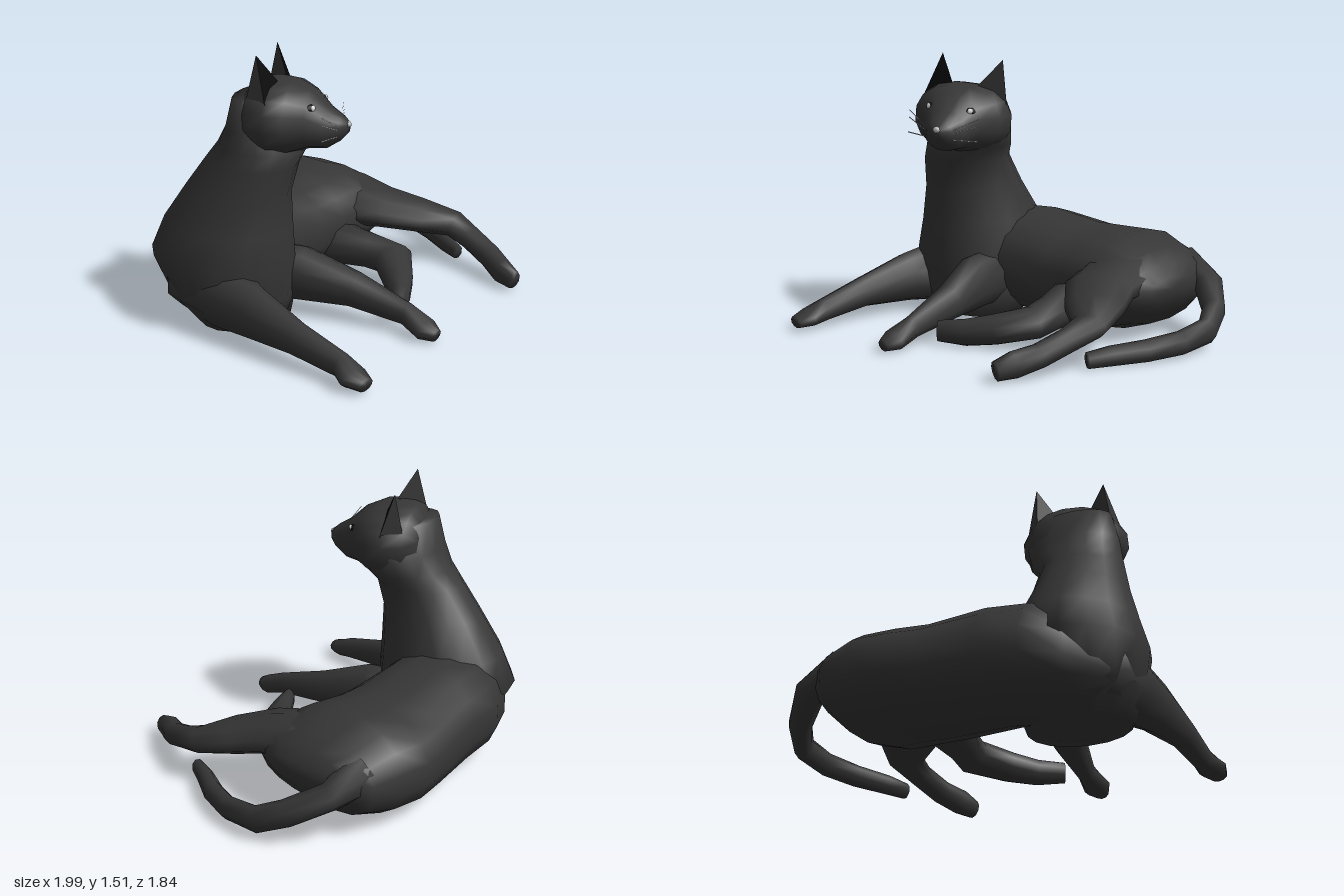
import * as THREE from 'three';

const V = (x, y, z) => new THREE.Vector3(x, y, z);

// Closed smooth skin through rings { c: centre, u, v: half axes }; power below 1 squares the rings
function loft(rings, n = 12, power = 1) {
  const pos = [], idx = [], last = rings.length - 1;
  const bend = (t) => Math.sign(t) * Math.abs(t) ** power;
  for (const { c, u, v } of rings) {
    for (let i = 0; i < n; i++) {
      const a = ((i + 0.5) / n) * Math.PI * 2;
      const p = c.clone().addScaledVector(u, bend(Math.cos(a))).addScaledVector(v, bend(Math.sin(a)));
      pos.push(p.x, p.y, p.z);
    }
  }
  for (const r of [rings[0], rings[last]]) pos.push(r.c.x, r.c.y, r.c.z);
  const capA = rings.length * n, capB = capA + 1;
  for (let i = 0; i < n; i++) {
    const j = (i + 1) % n;
    for (let k = 0; k < last; k++) {
      const a = k * n + i, b = k * n + j;
      idx.push(a, b, a + n, b, b + n, a + n);
    }
    idx.push(capA, j, i, capB, last * n + i, last * n + j);
  }
  // Turn the faces outward if the signed volume is negative
  let vol = 0;
  const at = (i) => V(pos[i * 3], pos[i * 3 + 1], pos[i * 3 + 2]);
  for (let i = 0; i < idx.length; i += 3) vol += at(idx[i]).dot(at(idx[i + 1]).cross(at(idx[i + 2])));
  if (vol < 0) idx.reverse();
  const g = new THREE.BufferGeometry();
  g.setAttribute('position', new THREE.Float32BufferAttribute(pos, 3));
  g.setIndex(idx);
  g.computeVertexNormals();
  return g;
}

// Limb along points [x, y, z, half width, half height]
function limb(points, n = 10) {
  const cs = points.map((p) => V(p[0], p[1], p[2]));
  return loft(points.map((p, i) => {
    const t = cs[Math.min(i + 1, cs.length - 1)].clone().sub(cs[Math.max(i - 1, 0)]).normalize();
    const side = V(0, 1, 0).cross(t).normalize();
    const up = t.clone().cross(side);
    return { c: cs[i], u: side.multiplyScalar(p[3]), v: up.multiplyScalar(p[4]) };
  }), n);
}

export function createModel() {
  const mat = (name, color) => Object.assign(new THREE.MeshStandardMaterial({ color }), { name });
  const fur = mat('charcoal fur', 0x363636);
  const black = mat('black', 0x080808);
  const white = mat('white', 0xf2f2f2);
  const grey = mat('light grey', 0xb4b4b4);
  black.side = white.side = THREE.DoubleSide;

  const model = new THREE.Group();
  model.name = 'recliningCat';
  const add = (parent, name, geometry, material) => {
    const m = new THREE.Mesh(geometry, material);
    m.name = name;
    parent.add(m);
    return m;
  };

  // Torso: [x, back z, front z, bottom y, top y]
  add(model, 'torso', loft([
    [-0.88, -0.47, -0.15, 0.12, 0.4],
    [-0.72, -0.66, -0.03, 0.03, 0.53],
    [-0.53, -0.77, 0.02, 0.01, 0.6],
    [-0.3, -0.81, -0.1, 0.01, 0.6],
    [0, -0.88, -0.1, 0, 0.55],
    [0.18, -0.925, -0.1, 0, 0.55],
    [0.37, -0.92, -0.08, 0.01, 0.56],
    [0.55, -0.88, -0.1, 0.07, 0.49],
    [0.64, -0.79, -0.12, 0.15, 0.43],
    [0.7, -0.6, -0.25, 0.23, 0.36],
  ].map(([x, z0, z1, y0, y1]) => ({
    c: V(x, (y0 + y1) / 2, (z0 + z1) / 2),
    u: V(0, 0, (z1 - z0) / 2),
    v: V(0, (y1 - y0) / 2, 0),
  })), 16, 0.9), fur);

  // Chest and neck: [y, right x, left x, back z, front z]
  add(model, 'chestAndNeck', loft([
    [0.01, -0.86, -0.3, -0.4, 0.05],
    [0.15, -0.95, -0.27, -0.56, 0.1],
    [0.37, -1, -0.28, -0.69, 0.13],
    [0.55, -0.94, -0.31, -0.62, 0.12],
    [0.75, -0.87, -0.36, -0.48, 0.12],
    [0.92, -0.815, -0.36, -0.36, 0.16],
    [1.01, -0.79, -0.28, -0.3, 0.17],
    [1.12, -0.775, -0.24, -0.24, 0.13],
    [1.28, -0.74, -0.31, -0.185, 0.06],
  ].map(([y, x0, x1, z0, z1]) => ({
    c: V((x0 + x1) / 2, y, (z0 + z1) / 2),
    u: V((x1 - x0) / 2, 0, 0),
    v: V(0, 0, (z1 - z0) / 2),
  })), 16), fur);

  // Legs and tail
  add(model, 'rightFrontLeg', limb([
    [-0.74, 0.23, -0.35, 0.22, 0.17],
    [-0.82, 0.21, -0.08, 0.16, 0.18],
    [-0.86, 0.195, 0.14, 0.11, 0.145],
    [-0.885, 0.155, 0.45, 0.075, 0.09],
    [-0.885, 0.1, 0.74, 0.06, 0.065],
    [-0.905, 0.07, 0.83, 0.085, 0.05],
    [-0.91, 0.055, 0.915, 0.05, 0.035],
  ]), fur);
  add(model, 'leftFrontLeg', limb([
    [-0.45, 0.23, -0.2, 0.15, 0.16],
    [-0.37, 0.23, 0.06, 0.115, 0.16],
    [-0.275, 0.18, 0.34, 0.09, 0.1],
    [-0.225, 0.11, 0.65, 0.05, 0.065],
    [-0.23, 0.06, 0.78, 0.08, 0.055],
    [-0.23, 0.045, 0.85, 0.04, 0.035],
  ]), fur);
  add(model, 'rightHindLeg', limb([
    [0.18, 0.18, -0.2, 0.15, 0.13],
    [0.23, 0.16, 0.05, 0.1, 0.1],
    [0.25, 0.14, 0.2, 0.12, 0.09],
    [0.1, 0.1, 0.35, 0.085, 0.085],
    [-0.02, 0.08, 0.45, 0.06, 0.075],
    [-0.15, 0.08, 0.53, 0.035, 0.06],
  ]), fur);
  add(model, 'leftHindLeg', limb([
    [0.42, 0.33, -0.5, 0.22, 0.18],
    [0.45, 0.34, -0.25, 0.22, 0.14],
    [0.5, 0.32, -0.05, 0.2, 0.1],
    [0.62, 0.275, 0.12, 0.165, 0.085],
    [0.73, 0.225, 0.28, 0.1, 0.07],
    [0.71, 0.175, 0.42, 0.07, 0.065],
    [0.67, 0.12, 0.58, 0.07, 0.065],
    [0.61, 0.085, 0.7, 0.06, 0.075],
    [0.58, 0.065, 0.8, 0.045, 0.055],
  ]), fur);
  add(model, 'tail', limb([
    [0.5, 0.34, -0.74, 0.12, 0.12],
    [0.71, 0.275, -0.72, 0.085, 0.075],
    [0.87, 0.18, -0.57, 0.065, 0.075],
    [0.945, 0.11, -0.42, 0.055, 0.075],
    [0.945, 0.085, -0.2, 0.055, 0.065],
    [0.88, 0.07, 0, 0.055, 0.06],
    [0.79, 0.06, 0.18, 0.045, 0.055],
    [0.74, 0.05, 0.3, 0.035, 0.045],
  ], 8), fur);

  // Head, turned to its left: skull sections [z, centre y, half width, half height]
  const head = new THREE.Group();
  head.name = 'head';
  head.position.set(-0.5, 1.18, 0);
  head.rotation.set(0, 0.42, -0.08);
  model.add(head);
  add(head, 'skull', loft([
    [-0.17, -0.05, 0.16, 0.13],
    [-0.11, -0.01, 0.24, 0.18],
    [0, -0.015, 0.29, 0.2],
    [0.1, -0.015, 0.262, 0.19],
    [0.19, -0.02, 0.185, 0.155],
    [0.28, -0.06, 0.12, 0.11],
    [0.35, -0.06, 0.075, 0.065],
    [0.385, -0.055, 0.035, 0.03],
  ].map(([z, y, w, h]) => ({ c: V(0, y, z), u: V(w, 0, 0), v: V(0, h, 0) })), 16, 0.9), fur);
  const nose = add(head, 'nose', new THREE.SphereGeometry(0.024, 8, 6), grey);
  nose.position.set(0, -0.04, 0.376);
  nose.scale.y = 0.8;

  for (const s of [1, -1]) {
    const side = s > 0 ? 'left' : 'right';
    const tri = (...corners) => {
      if (s < 0) corners = corners.flatMap((_, i) => (i % 3 ? [] : [corners[i], corners[i + 2], corners[i + 1]]));
      const g = new THREE.BufferGeometry().setFromPoints(corners);
      g.computeVertexNormals();
      return g;
    };

    // Ear: dark open face in front, furry back
    const inner = V(s * 0.07, 0.165, 0.03), outer = V(s * 0.255, 0.085, 0.01);
    const back = V(s * 0.2, 0.08, -0.11), tip = V(s * 0.185, 0.325, -0.06);
    add(head, side + 'EarInside', tri(inner, outer, tip), black);
    add(head, side + 'EarBack', tri(outer, back, tip, back, inner, tip), fur);

    // Eye with a highlight
    const eye = add(head, side + 'Eye', new THREE.SphereGeometry(0.032, 10, 8), black);
    eye.position.set(s * 0.122, 0.05, 0.212);
    eye.scale.set(1, 0.85, 0.6);
    eye.rotation.y = s * 0.6;
    const glint = add(head, side + 'EyeHighlight', new THREE.SphereGeometry(0.017, 6, 4), white);
    glint.position.set(s * 0.126, 0.06, 0.227);
    glint.scale.z = 0.6;
    glint.rotation.y = s * 0.6;

    // Whiskers: thin blades
    for (const [y0, y1] of [[-0.035, 0.035], [-0.055, -0.005], [-0.09, -0.09]]) {
      const a = V(s * 0.085, y0 - 0.003, 0.345), b = V(s * 0.21, y1 - 0.003, 0.295);
      const c = V(s * 0.21, y1 + 0.003, 0.295), d = V(s * 0.085, y0 + 0.003, 0.345);
      add(head, side + 'Whisker', tri(a, b, c, a, c, d), white);
    }
  }
  return model;
}
